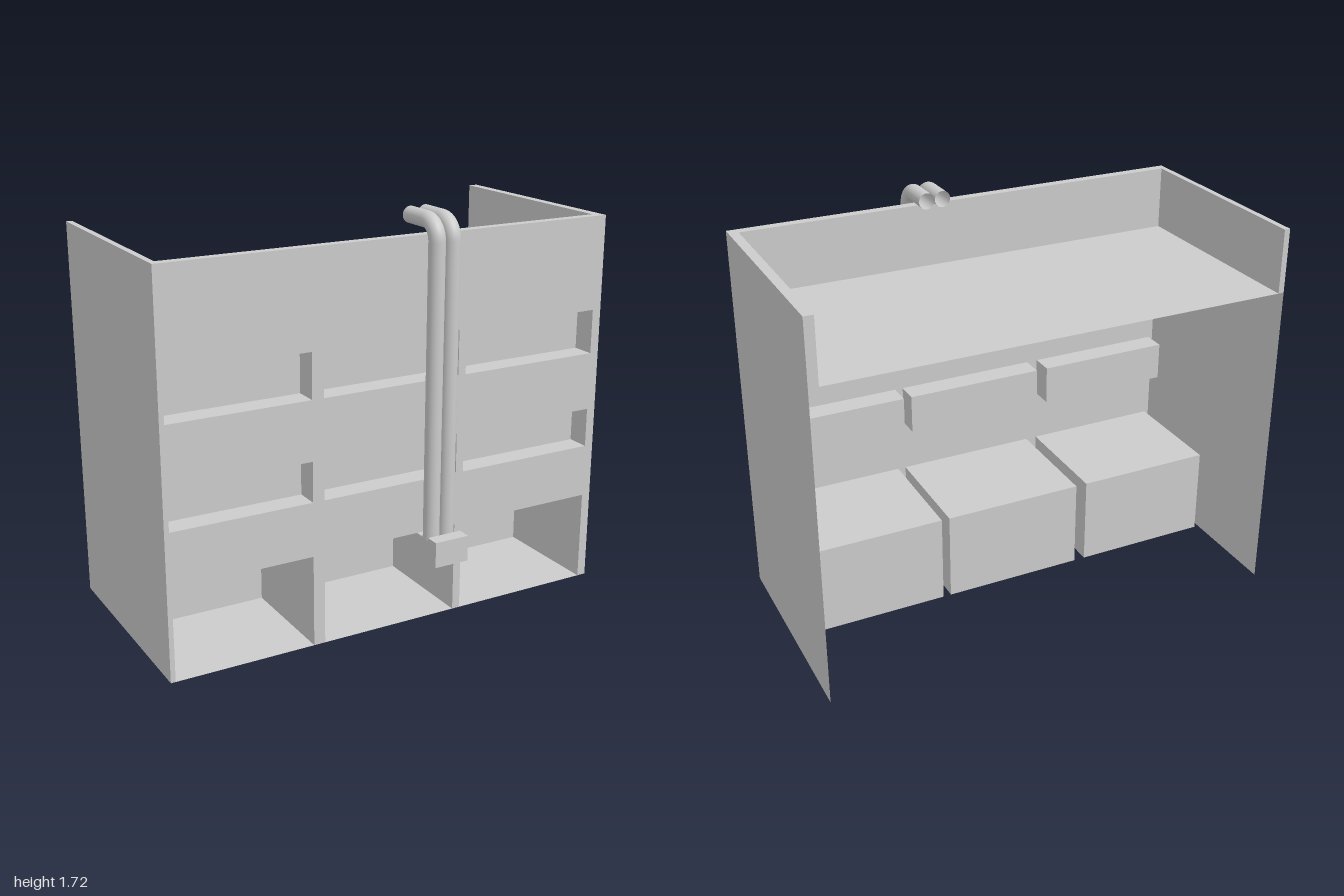
import * as THREE from 'three';
import { mergeGeometries } from 'three/addons/utils/BufferGeometryUtils.js';

const material = new THREE.MeshStandardMaterial({ color: 0xcccccc, side: THREE.DoubleSide });
const FRONT = 0.4, BACK = -0.545, TOP = 1.63, ROOF = 1.36;
const INNER_RIGHT = -0.975, INNER_LEFT = 0.96, INNER_FRONT = 0.36;

// Flat sheet from four corners, counter-clockwise as seen from its front
function quad(a, b, c, d) {
  const g = new THREE.BufferGeometry();
  g.setAttribute('position', new THREE.Float32BufferAttribute([...a, ...b, ...c, ...a, ...c, ...d], 3));
  g.computeVertexNormals();
  return g;
}

// Upright sheet between two ground points, facing right of the a-to-b direction
const upright = (ax, az, bx, bz, y0, y1) =>
  quad([ax, y0, az], [bx, y0, bz], [bx, y1, bz], [ax, y1, az]);

// Level sheet facing up
const level = (x0, x1, z0, z1, y) =>
  quad([x0, y, z1], [x1, y, z1], [x1, y, z0], [x0, y, z0]);

export function createModel() {
  const model = new THREE.Group();
  const add = (name, geometry) => {
    const mesh = new THREE.Mesh(geometry, material);
    mesh.name = name;
    model.add(mesh);
    return mesh;
  };

  const columns = [[-0.98, -0.38], [-0.33, 0.285], [0.32, 0.96]];
  const rows = [
    { name: 'shopBay', y0: 0, y1: 0.39, depth: 0.49 },
    { name: 'middleWindow', y0: 0.62, y1: 0.79, depth: 0.1 },
    { name: 'upperWindow', y0: 1.04, y1: 1.23, depth: 0.1 },
  ];

  // Front wall: ground-floor bays notch the outline, windows are holes
  const outline = [[-1, 0]];
  for (const [x0, x1] of columns) {
    outline.push([x0, 0], [x0, rows[0].y1], [x1, rows[0].y1], [x1, 0]);
  }
  outline.push([1, 0], [1, TOP], [-1, TOP]);
  const wall = new THREE.Shape(outline.map(([x, y]) => new THREE.Vector2(x, y)));
  for (const { y0, y1 } of rows.slice(1)) {
    for (const [x0, x1] of columns) {
      wall.holes.push(new THREE.Path([[x0, y0], [x0, y1], [x1, y1], [x1, y0]]
        .map(([x, y]) => new THREE.Vector2(x, y))));
    }
  }
  add('frontWall', new THREE.ShapeGeometry(wall)).position.z = FRONT;

  // Recessed boxes behind each opening, open at the front
  for (const { name, y0, y1, depth } of rows) {
    const z = FRONT - depth;
    for (const [x0, x1] of columns) {
      add(name, mergeGeometries([
        upright(x0, z, x1, z, y0, y1),
        upright(x0, FRONT, x0, z, y0, y1),
        upright(x1, z, x1, FRONT, y0, y1),
        level(x0, x1, z, FRONT, y0),
        quad([x0, y1, z], [x1, y1, z], [x1, y1, FRONT], [x0, y1, FRONT]),
      ]));
    }
  }

  // Side walls and sunken roof; the back stays open
  add('rightWall', upright(-1, BACK, -1, FRONT, 0, TOP));
  add('leftWall', upright(1, FRONT, 1, BACK, 0, TOP));
  add('roof', level(INNER_RIGHT, INNER_LEFT, BACK, INNER_FRONT, ROOF));

  // Parapet lining around the roof: inner faces, top rim and rear ends
  add('parapet', mergeGeometries([
    upright(INNER_RIGHT, INNER_FRONT, INNER_RIGHT, BACK, ROOF, TOP),
    upright(INNER_LEFT, BACK, INNER_LEFT, INNER_FRONT, ROOF, TOP),
    upright(INNER_LEFT, INNER_FRONT, INNER_RIGHT, INNER_FRONT, ROOF, TOP),
    upright(INNER_RIGHT, BACK, -1, BACK, ROOF, TOP),
    upright(1, BACK, INNER_LEFT, BACK, ROOF, TOP),
    level(-1, INNER_RIGHT, BACK, FRONT, TOP),
    level(INNER_LEFT, 1, BACK, FRONT, TOP),
    level(INNER_RIGHT, INNER_LEFT, INNER_FRONT, FRONT, TOP),
  ]));

  // Twin pipes running up the front and bending over the parapet
  const pipeZ = 0.443, pipeTop = 1.682, bend = 0.075;
  const at = (y, z) => new THREE.Vector3(0, y, z);
  const k = bend * 0.448;
  const path = new THREE.CurvePath();
  path.add(new THREE.LineCurve3(at(0.375, pipeZ), at(pipeTop - bend, pipeZ)));
  path.add(new THREE.CubicBezierCurve3(at(pipeTop - bend, pipeZ), at(pipeTop - k, pipeZ),
    at(pipeTop, pipeZ - k), at(pipeTop, pipeZ - bend)));
  path.add(new THREE.LineCurve3(at(pipeTop, pipeZ - bend), at(pipeTop, 0.245)));
  for (const x of [0.142, 0.211]) {
    add('pipe', new THREE.TubeGeometry(path, 150, 0.034, 24)).position.x = x;
  }

  // Duct running from the back of the middle bay to the foot of the pipes
  add('duct', new THREE.BoxGeometry(0.13, 0.06, 0.575)).position.set(0.185, 0.345, 0.1975);
  add('ductBox', new THREE.BoxGeometry(0.155, 0.11, 0.06)).position.set(0.178, 0.345, 0.515);

  return model;
}
